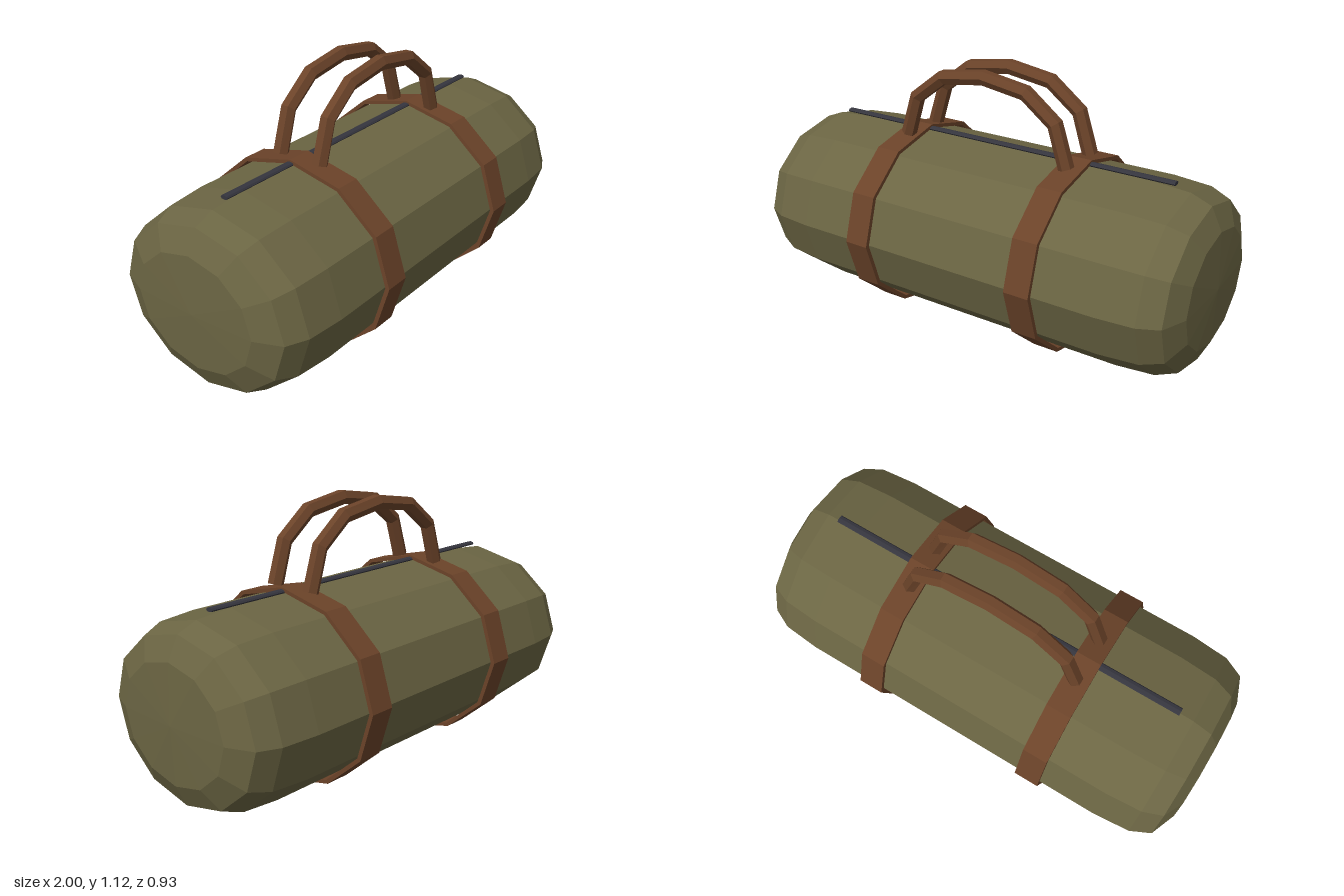
import * as THREE from 'three';

const olive = new THREE.MeshStandardMaterial({ color: 0x6b6543 });
olive.name = 'olive canvas';
const brown = new THREE.MeshStandardMaterial({ color: 0x6b4329 });
brown.name = 'brown leather';
const dark = new THREE.MeshStandardMaterial({ color: 0x35353e });
dark.name = 'dark zip';

const CENTRE_Y = 0.402;

// Faceted normals for the low-poly look
function faceted(geometry) {
  const flat = geometry.toNonIndexed();
  flat.computeVertexNormals();
  return flat;
}

function addPart(group, name, geometry, material) {
  const mesh = new THREE.Mesh(faceted(geometry), material);
  mesh.name = name;
  group.add(mesh);
  return mesh;
}

// Twelve-sided oval ring or barrel around the x axis; profile = [z radius, x]
function ovalLathe(profile, yScale) {
  return new THREE.LatheGeometry(profile.map(([r, x]) => new THREE.Vector2(r, x)), 12)
    .rotateZ(-Math.PI / 2)
    .scale(1, yScale, 1)
    .translate(0, CENTRE_Y, 0);
}

export function createModel() {
  const bag = new THREE.Group();
  bag.name = 'duffelBag';

  // Barrel body with rounded ends
  const half = [[0.444, 0.7], [0.43, 0.86], [0.39, 0.945], [0.28, 0.99], [0, 1]];
  const profile = [...half.map(([r, x]) => [r, -x]).reverse(), ...half];
  addPart(bag, 'body', ovalLathe(profile, 0.374 / 0.444), olive);

  // Straps wrapped around the body
  const w = 0.054;
  const band = [[0.449, -w], [0.467, -w], [0.467, w], [0.449, w], [0.449, -w]];
  for (const side of [-1, 1]) {
    const strap = addPart(bag, side < 0 ? 'rightStrap' : 'leftStrap', ovalLathe(band, 0.402 / 0.467), brown);
    strap.position.x = side * 0.39;
  }

  // Zip along the top
  const zip = new THREE.CylinderGeometry(0.017, 0.017, 1.6, 8).rotateZ(Math.PI / 2).scale(1, 0.5, 1);
  addPart(bag, 'zip', zip, dark).position.y = 0.788;

  // Pair of arched six-sided handles
  const rise = [[0.385, 0.787], [0.331, 0.957], [0.197, 1.06]];
  const points = [...rise.map(([x, y]) => [-x, y]), [0, 1.09], ...[...rise].reverse()];
  const arch = new THREE.CatmullRomCurve3(points.map(([x, y]) => new THREE.Vector3(x, y, 0)));
  // Place the tube rings exactly on the path points
  arch.getPointAt = (t, target) => arch.getPoint(t, target);
  arch.getTangentAt = (t, target) => arch.getTangent(t, target);
  for (const side of [-1, 1]) {
    const handle = new THREE.Group();
    handle.name = side < 0 ? 'backHandle' : 'frontHandle';
    handle.position.z = side * 0.097;
    addPart(handle, 'grip', new THREE.TubeGeometry(arch, 6, 0.0325, 6), brown);
    // Closed ends resting on the straps
    for (const end of [0, 1]) {
      const outward = arch.getTangent(end).multiplyScalar(end ? 1 : -1);
      const cap = addPart(handle, 'gripEnd', new THREE.CircleGeometry(0.0325, 6), brown);
      cap.position.copy(arch.getPoint(end));
      // Keep a corner of the hexagon along z, matching the tube
      const across = new THREE.Vector3(0, 0, 1);
      const up = new THREE.Vector3().crossVectors(outward, across);
      cap.quaternion.setFromRotationMatrix(new THREE.Matrix4().makeBasis(across, up, outward));
    }
    bag.add(handle);
  }

  return bag;
}
